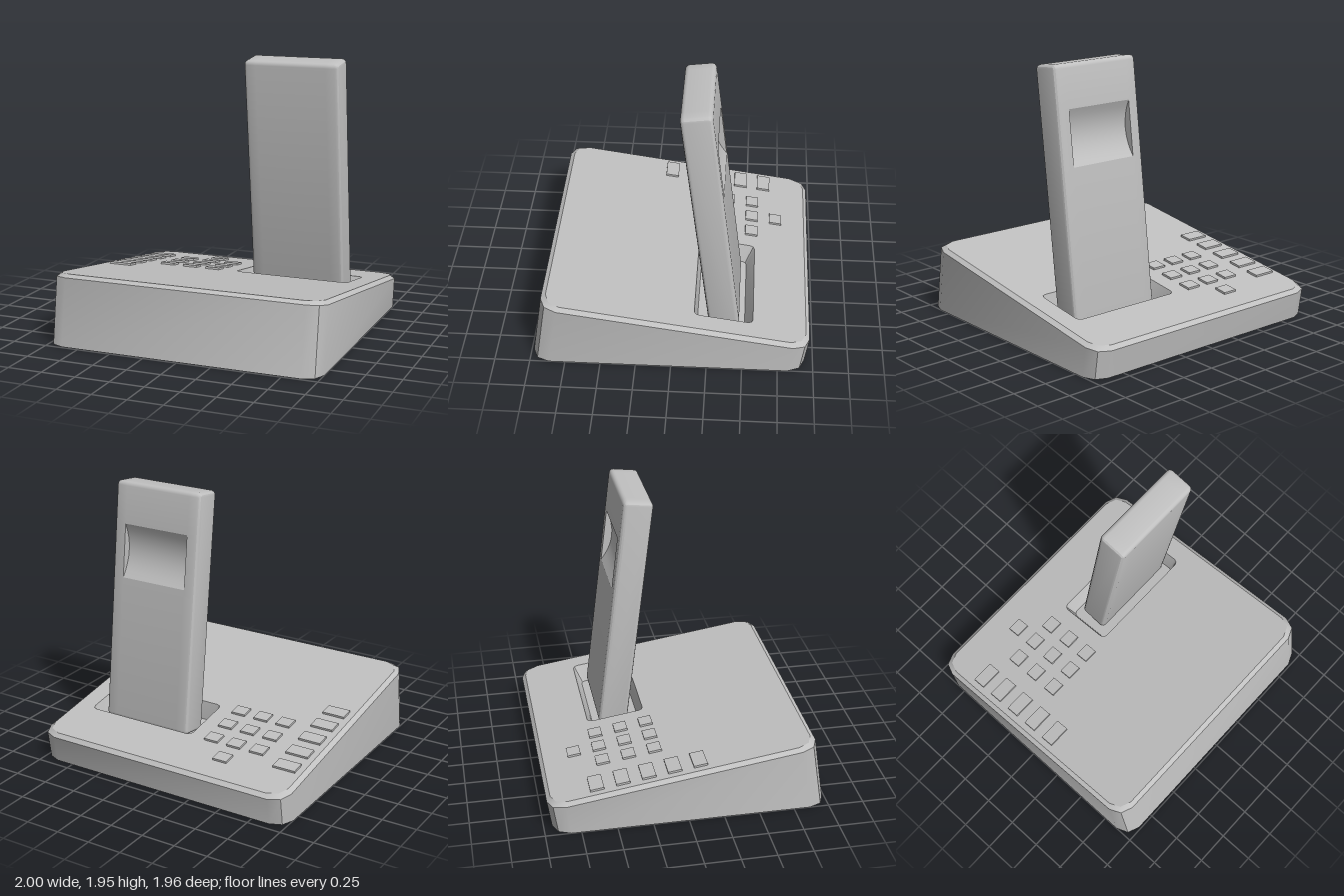
import * as THREE from 'three';
import { toCreasedNormals } from 'three/addons/utils/BufferGeometryUtils.js';

const plastic = new THREE.MeshStandardMaterial({ color: 0xc0c0c0 });
plastic.name = 'grey plastic';

const TILT = 0.149; // slope of the top surface
const TOP_Y = 0.368; // height of the top surface at z = 0

function mesh(geometry, name) {
  const m = new THREE.Mesh(geometry, plastic);
  m.name = name;
  return m;
}

// Skin a list of closed rings, with optional flat caps on the first and last
function loft(rings, capStart, capEnd, crease = 0.45) {
  const pos = [];
  const tri = (a, b, c) => {
    const area = b.clone().sub(a).cross(c.clone().sub(a)).length();
    if (area > 1e-8) for (const p of [a, b, c]) pos.push(p.x, p.y, p.z);
  };
  const n = rings[0].length;
  for (let i = 0; i < rings.length - 1; i++) {
    const lo = rings[i], hi = rings[i + 1];
    for (let j = 0; j < n; j++) {
      const k = (j + 1) % n;
      tri(lo[j], lo[k], hi[k]);
      tri(lo[j], hi[k], hi[j]);
    }
  }
  const first = rings[0], last = rings[rings.length - 1];
  for (let j = 1; j < n - 1; j++) {
    if (capStart) tri(first[0], first[j + 1], first[j]);
    if (capEnd) tri(last[0], last[j], last[j + 1]);
  }
  const g = new THREE.BufferGeometry();
  g.setAttribute('position', new THREE.Float32BufferAttribute(pos, 3));
  return toCreasedNormals(g, crease);
}

// Rounded rectangle in the xz plane; height is a number or a function of z
function outline(x0, x1, z0, z1, r, segs, height) {
  const pts = [];
  const centres = [[x1 - r, z0 + r], [x0 + r, z0 + r], [x0 + r, z1 - r], [x1 - r, z1 - r]];
  centres.forEach(([cx, cz], q) => {
    for (let s = 0; s <= segs; s++) {
      const t = (q + s / segs) * Math.PI / 2;
      const z = cz - r * Math.sin(t);
      const y = typeof height === 'function' ? height(z) : height;
      pts.push(new THREE.Vector3(cx + r * Math.cos(t), y, z));
    }
  });
  return pts;
}

function createBase() {
  const base = new THREE.Group();
  base.name = 'base';
  base.position.y = TOP_Y;
  base.rotation.x = -TILT;

  // Wedge body: square to the sloping top, cut level at the bottom
  const ground = z => -(TOP_Y + z * Math.sin(TILT)) / Math.cos(TILT);
  const b = 0.03;
  const topRing = outline(-1 + b, 1 - b, -0.985 + b, 0.92 - b, 0.11, 2, 0);
  base.add(mesh(loft([
    outline(-1, 1, -0.985, 0.92, 0.12, 2, ground),
    outline(-1, 1, -0.985, 0.92, 0.12, 2, -0.025),
    topRing,
  ], true, false), 'baseBody'));

  // Cradle well with sloping walls
  const rim = outline(-0.03, 0.83, -0.576, -0.157, 0.035, 2, 0);
  const floor = outline(0.01, 0.79, -0.536, -0.197, 0.03, 2, -0.13);
  base.add(mesh(loft([rim, floor], false, true), 'cradleWell'));

  // Top panel, open over the well
  const flat = ring => ring.map(p => new THREE.Vector2(p.x, -p.z));
  const panel = new THREE.Shape(flat(topRing));
  panel.holes.push(new THREE.Path(flat(rim)));
  base.add(mesh(new THREE.ShapeGeometry(panel).rotateX(-Math.PI / 2), 'topPanel'));

  // Number keys: three rows of three and a single key behind
  const addKey = (x, z, w, d, name) => {
    const key = mesh(new THREE.BoxGeometry(w, 0.03, d), name);
    key.position.set(x, 0, z / Math.cos(TILT));
    base.add(key);
  };
  for (const z of [-0.54, -0.355, -0.17]) {
    for (const x of [-0.573, -0.39, -0.208]) addKey(x, z, 0.108, 0.094, 'numberKey');
  }
  addKey(-0.39, -0.722, 0.108, 0.094, 'numberKey');

  // Column of wider function keys
  for (let i = 0; i < 5; i++) addKey(-0.84, 0.095 - i * 0.18, 0.17, 0.098, 'functionKey');
  return base;
}

// Side profile of the handset with an optional hollow in its back face
function handsetSection(x, inset, hollow) {
  const r = Math.max(0.032 - inset, 0.002);
  const hz = 0.108 - inset, y0 = -0.11 + inset, y1 = 1.655 - inset;
  const pts = [];
  const corner = (z, y, start) => {
    for (let s = 0; s <= 4; s++) {
      const t = start + s / 4 * Math.PI / 2;
      pts.push(new THREE.Vector3(x, y + r * Math.sin(t), z - r * Math.cos(t)));
    }
  };
  corner(-hz + r, y0 + r, -Math.PI / 2);
  for (let i = 0; i <= 8; i++) {
    const t = i / 8;
    pts.push(new THREE.Vector3(x, 0.957 + 0.393 * t, -hz + 4 * hollow * t * (1 - t)));
  }
  corner(-hz + r, y1 - r, 0);
  corner(hz - r, y1 - r, Math.PI / 2);
  corner(hz - r, y0 + r, Math.PI);
  return pts;
}

function createHandset() {
  // [x, edge inset, hollow depth]
  const sections = [
    [0.07, 0.03, 0], [0.074, 0.016, 0], [0.084, 0.005, 0], [0.1, 0, 0],
    [0.16, 0, 0], [0.16, 0, 0.06], [0.68, 0, 0.06], [0.68, 0, 0],
    [0.745, 0, 0], [0.761, 0.005, 0], [0.771, 0.016, 0], [0.775, 0.03, 0],
  ];
  const handset = mesh(loft(sections.map(s => handsetSection(...s)), true, true), 'handset');
  handset.position.set(0, 0.3, -0.354);
  handset.rotation.x = 0.122;
  return handset;
}

export function createModel() {
  const model = new THREE.Group();
  model.name = 'deskPhone';
  model.add(createBase(), createHandset());
  return model;
}
